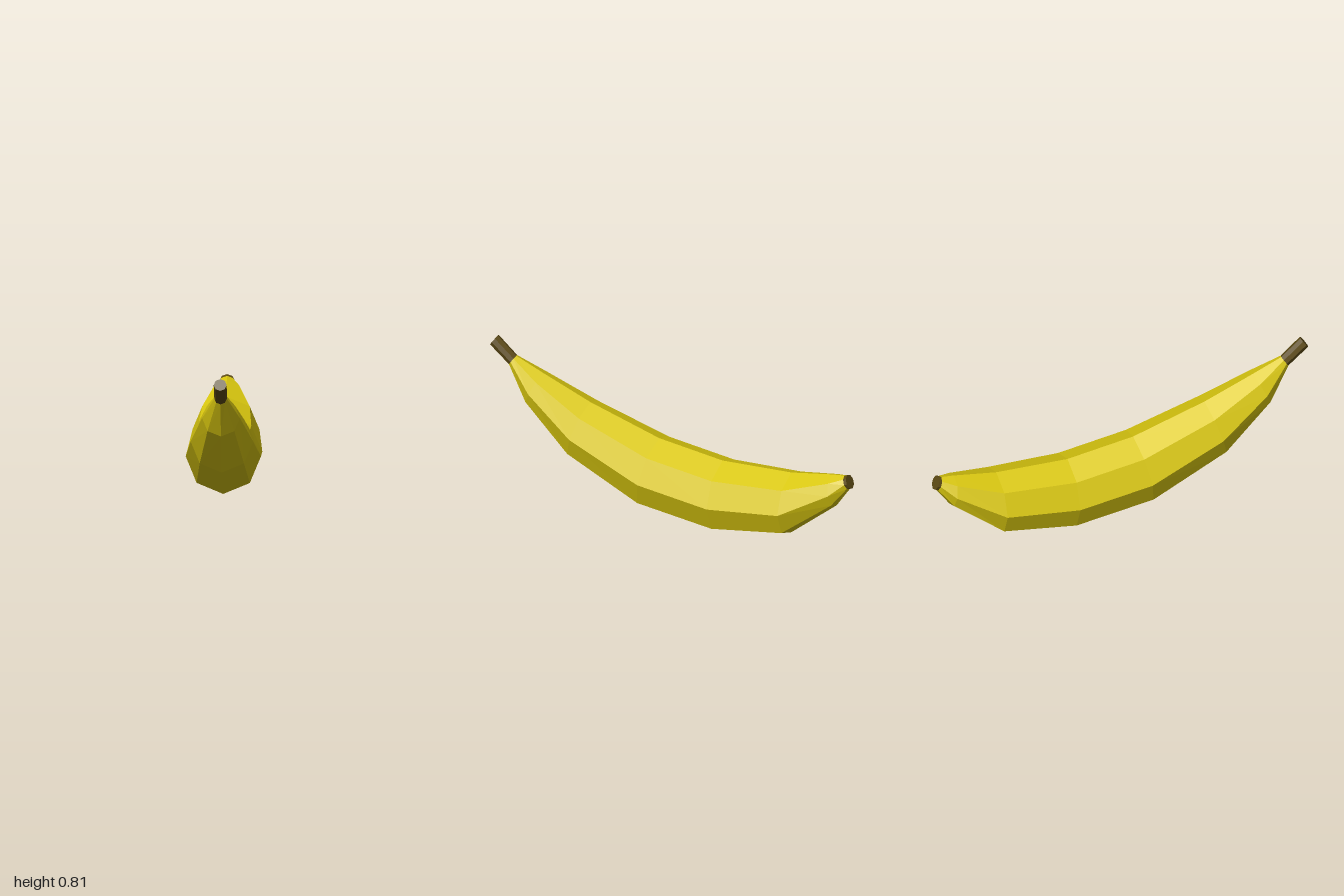
import * as THREE from 'three';

const SIDES = 8;

// Octagonal ring whose lowest corner is (z0, y0) and highest corner is (z1, y1)
function ring([z0, y0, z1, y1]) {
  const dz = (z1 - z0) / 2, dy = (y1 - y0) / 2, r = Math.hypot(dz, dy);
  const points = [];
  for (let j = 0; j < SIDES; j++) {
    const a = (j / SIDES) * Math.PI * 2, c = Math.cos(a);
    points.push([r * Math.sin(a), (y0 + y1) / 2 + dy * c, (z0 + z1) / 2 + dz * c]);
  }
  points.center = [0, (y0 + y1) / 2, (z0 + z1) / 2];
  return points;
}

// Faceted skin over rings listed from front to back, closed at both ends
function loft(name, sections, color) {
  const rings = sections.map(ring), pos = [];
  const tri = (...corners) => corners.forEach((p) => pos.push(...p));
  const first = rings[0], last = rings[rings.length - 1];
  for (let j = 0; j < SIDES; j++) {
    const k = (j + 1) % SIDES;
    for (let i = 0; i < rings.length - 1; i++) {
      const a = rings[i], b = rings[i + 1];
      tri(a[j], a[k], b[k]);
      tri(a[j], b[k], b[j]);
    }
    tri(first.center, first[k], first[j]);
    tri(last.center, last[j], last[k]);
  }
  const geometry = new THREE.BufferGeometry();
  geometry.setAttribute('position', new THREE.Float32BufferAttribute(pos, 3));
  geometry.computeVertexNormals();
  const mesh = new THREE.Mesh(geometry, new THREE.MeshStandardMaterial({ color, flatShading: true }));
  mesh.name = name;
  return mesh;
}

export function createModel() {
  const group = new THREE.Group();
  group.name = 'banana';
  const stemBase = [0.895, 0.67, 0.86, 0.722];
  const tipBase = [-0.983, 0.373, -0.953, 0.441];

  // Curved peel: lowest and highest corner of each section
  group.add(loft('peel', [
    stemBase,
    [0.79, 0.485, 0.71, 0.657],
    [0.54, 0.25, 0.45, 0.55],
    [0.14, 0.06, 0.07, 0.43],
    [-0.28, 0.003, -0.28, 0.38],
    [-0.66, 0.06, -0.66, 0.395],
    [-0.91, 0.265, -0.885, 0.433],
    tipBase,
  ], 0xd9c70f));

  // Woody stem at the raised front end
  group.add(loft('stem', [[1.0, 0.76, 0.962, 0.813], stemBase], 0x5c4a14));

  // Small dark tip at the back end
  group.add(loft('tip', [tipBase, [-0.998, 0.38, -0.968, 0.447]], 0x5c4a14));
  return group;
}
